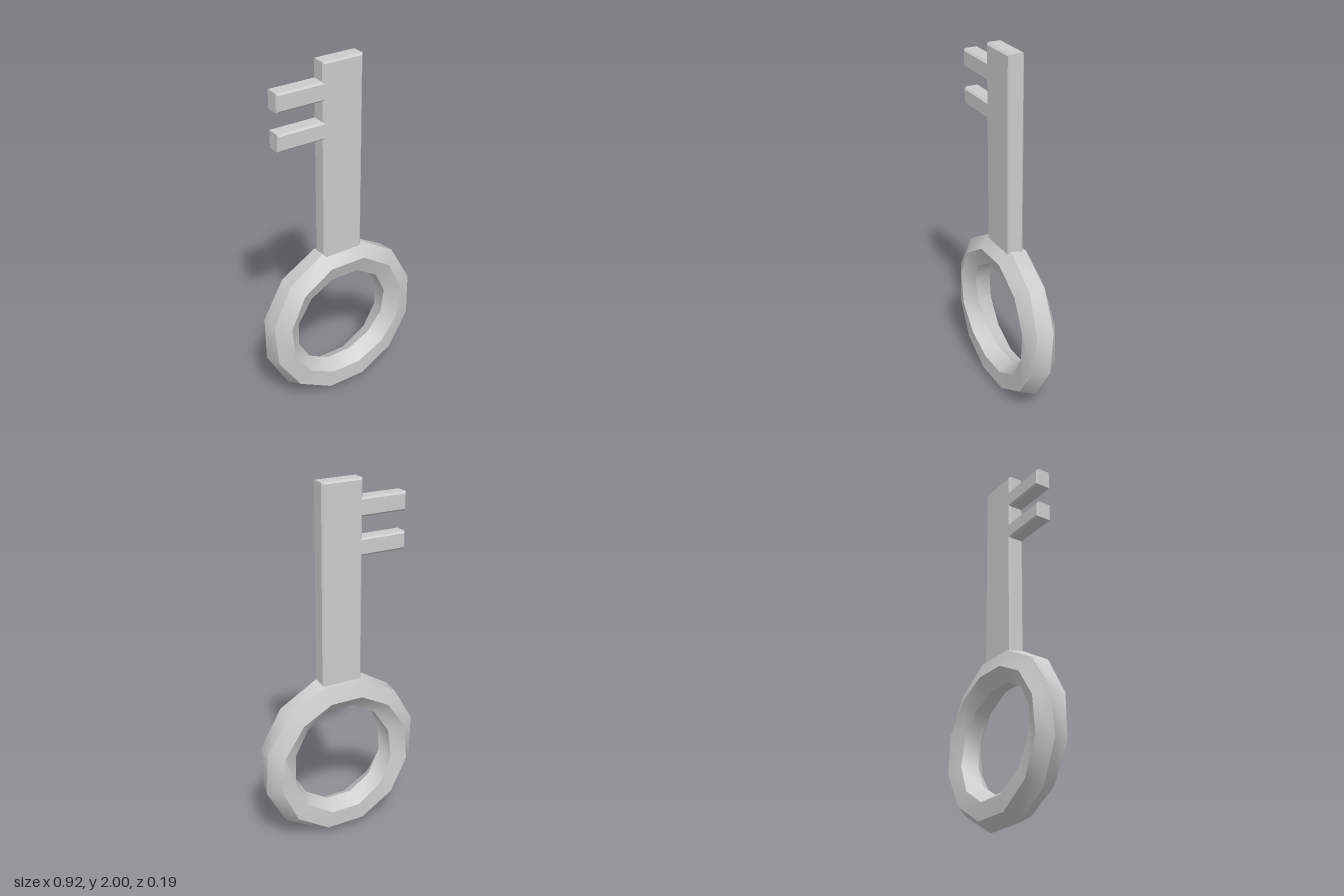
import * as THREE from 'three';
import { toCreasedNormals } from 'three/addons/utils/BufferGeometryUtils.js';

// Low-poly ring with a hexagonal section that twists back and forth around the loop
function twistedRing(radius, tube, segments, sides) {
  const positions = [], index = [];
  for (let i = 0; i < segments; i++) {
    const t = ((i + 0.5) / segments) * Math.PI * 2;
    const phase = THREE.MathUtils.degToRad(100 - 22 * Math.sin(t));
    for (let j = 0; j < sides; j++) {
      const p = phase + (j / sides) * Math.PI * 2;
      const r = radius + tube * Math.cos(p);
      positions.push(r * Math.cos(t), r * Math.sin(t), tube * Math.sin(p));
      const i2 = (i + 1) % segments, j2 = (j + 1) % sides;
      const a = i * sides + j, b = i2 * sides + j, c = i2 * sides + j2, d = i * sides + j2;
      index.push(a, b, c, a, c, d);
    }
  }
  const geometry = new THREE.BufferGeometry();
  geometry.setAttribute('position', new THREE.Float32BufferAttribute(positions, 3));
  geometry.setIndex(index);
  return toCreasedNormals(geometry, 0.7);
}

// Flat shaft and its two teeth cut as one outline with small bevels
function bladeGeometry() {
  const w = 0.118, tip = -0.38, bevel = 0.01, depth = 0.09;
  const outline = [[-w, 0.86], [w, 0.86], [w, 2], [-w, 2]];
  for (const [low, high] of [[1.8, 1.9], [1.595, 1.69]]) {
    outline.push([-w, high], [tip, high], [tip, low], [-w, low]);
  }
  const shape = new THREE.Shape(outline.map(([x, y]) => new THREE.Vector2(x, y)));
  const geometry = new THREE.ExtrudeGeometry(shape, {
    depth: depth - 2 * bevel,
    bevelEnabled: true,
    bevelThickness: bevel,
    bevelSize: bevel,
    bevelOffset: -bevel,
    bevelSegments: 1,
  });
  geometry.translate(0, 0, bevel - depth / 2);
  return toCreasedNormals(geometry, 0.5);
}

export function createModel() {
  const group = new THREE.Group();
  group.name = 'key';
  const material = new THREE.MeshStandardMaterial({ color: 0xcccccc });

  // Ring handle
  const handle = new THREE.Mesh(twistedRing(0.383, 0.096, 12, 6), material);
  handle.name = 'ringHandle';
  handle.position.y = 0.466;
  group.add(handle);

  // Shaft with teeth
  const blade = new THREE.Mesh(bladeGeometry(), material);
  blade.name = 'shaftWithTeeth';
  group.add(blade);

  return group;
}
